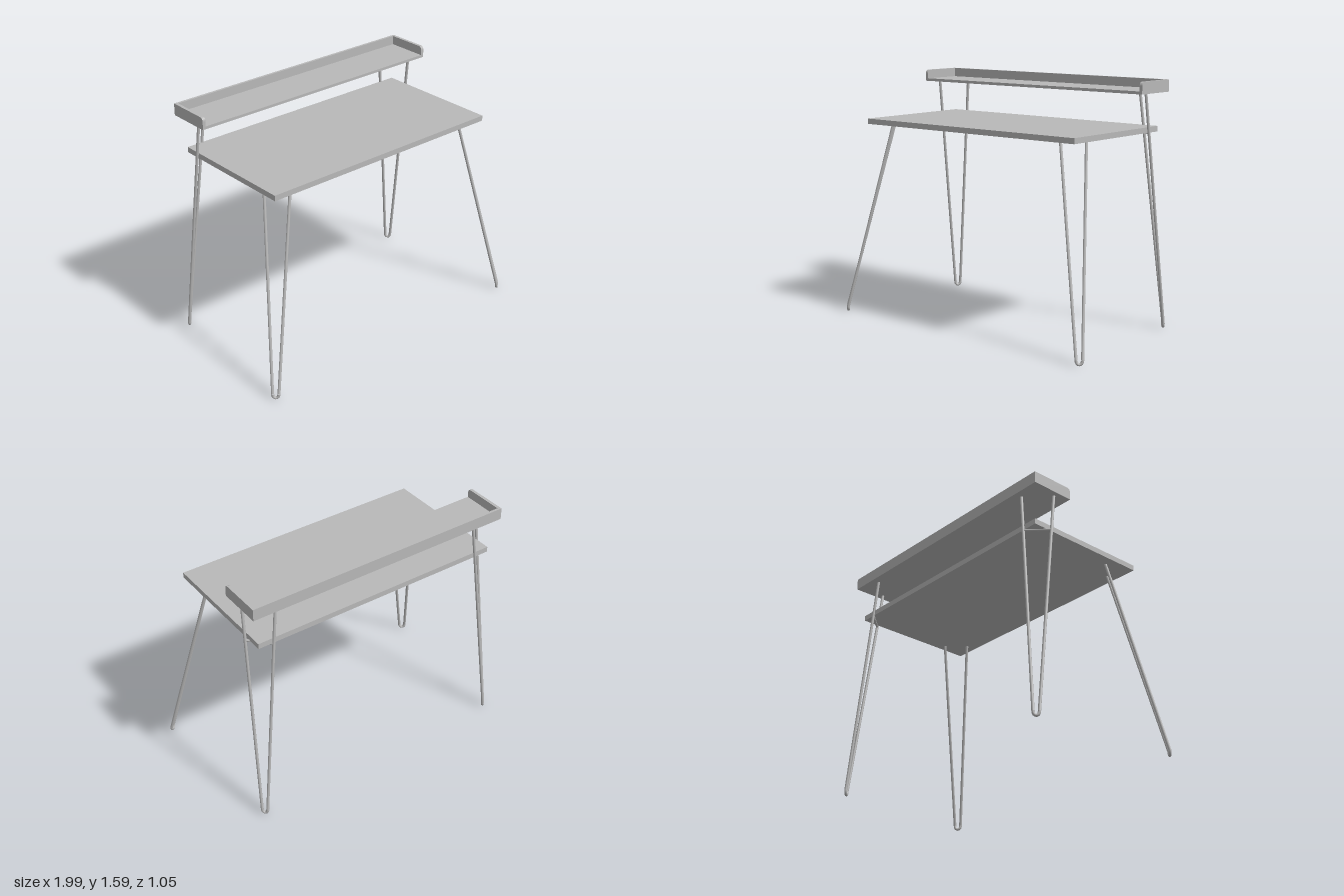
import * as THREE from 'three';

const grey = new THREE.MeshStandardMaterial({ color: 0xb8b8b8 });
grey.name = 'grey';
const ROD = 0.0095;

function add(parent, name, geometry, x = 0, y = 0, z = 0) {
  const mesh = new THREE.Mesh(geometry, grey);
  mesh.name = name;
  mesh.position.set(x, y, z);
  parent.add(mesh);
  return mesh;
}

// Straight round bar between two points
function addRod(parent, name, a, b, radius = ROD) {
  const dir = b.clone().sub(a);
  const rod = add(parent, name, new THREE.CylinderGeometry(radius, radius, dir.length(), 10));
  rod.position.copy(a).add(b).multiplyScalar(0.5);
  rod.quaternion.setFromUnitVectors(new THREE.Vector3(0, 1, 0), dir.normalize());
}

// Hairpin leg: two splayed rods joined by a U bend at the floor
function hairpinLeg(name, topA, footA, topB, footB) {
  const leg = new THREE.Group();
  leg.name = name;
  addRod(leg, 'legRod', footA, topA);
  addRod(leg, 'legRod', footB, topB);
  const bend = new THREE.CubicBezierCurve3(
    footA, footA.clone().setY(0.001), footB.clone().setY(0.001), footB);
  add(leg, 'footBend', new THREE.TubeGeometry(bend, 10, ROD, 10));
  return leg;
}

export function createModel() {
  const model = new THREE.Group();
  model.name = 'desk';
  const cx = -0.007; // desk, shelf and back legs share this centre line

  add(model, 'deskTop', new THREE.BoxGeometry(1.7, 0.035, 0.855), cx, 1.282, -0.025);

  // Raised shelf with a back rail and rounded end panels
  const shelf = new THREE.Group();
  shelf.name = 'shelf';
  model.add(shelf);
  const back = -0.495, front = -0.203, low = 1.512, high = 1.588, half = 0.9, t = 0.02, r = 0.025;
  add(shelf, 'shelfBoard', new THREE.BoxGeometry(2 * (half - t), 0.018, front - back),
    cx, low + 0.009, (front + back) / 2);
  add(shelf, 'backRail', new THREE.BoxGeometry(2 * (half - t), high - low, 0.017),
    cx, (low + high) / 2, back + 0.0085);
  const side = new THREE.Shape();
  side.moveTo(-back, low);
  side.lineTo(-back, high);
  side.lineTo(-front + r, high);
  side.quadraticCurveTo(-front, high, -front, high - r);
  side.lineTo(-front, low);
  side.closePath();
  const panel = new THREE.ExtrudeGeometry(side, { depth: t, bevelEnabled: false, curveSegments: 6 });
  panel.rotateY(Math.PI / 2);
  for (const x of [cx - half, cx + half - t]) add(shelf, 'endPanel', panel, x);

  for (const s of [-1, 1]) {
    const prefix = s > 0 ? 'left' : 'right';
    // Front legs stop under the desk top
    const f = (x, y, z) => new THREE.Vector3(s * x, y, z);
    model.add(hairpinLeg(prefix + 'FrontLeg',
      f(0.69, 1.268, 0.334), f(0.957, 0.036, 0.518),
      f(0.79, 1.268, 0.214), f(0.986, 0.036, 0.493)));

    // Back legs rise past the desk top to carry the shelf
    const b = (x, y, z) => new THREE.Vector3(cx + s * x, y, z);
    const topA = b(0.722, 1.515, -0.443), footA = b(0.877, 0.036, -0.517);
    const topB = b(0.86, 1.515, -0.303), footB = b(0.9, 0.036, -0.49);
    const leg = hairpinLeg(prefix + 'BackLeg', topA, footA, topB, footB);
    // Cross rod that supports the desk top corner
    const k = (1.515 - 1.261) / (1.515 - 0.036);
    addRod(leg, 'crossRod', topA.clone().lerp(footA, k), topB.clone().lerp(footB, k), 0.008);
    model.add(leg);
  }
  return model;
}
